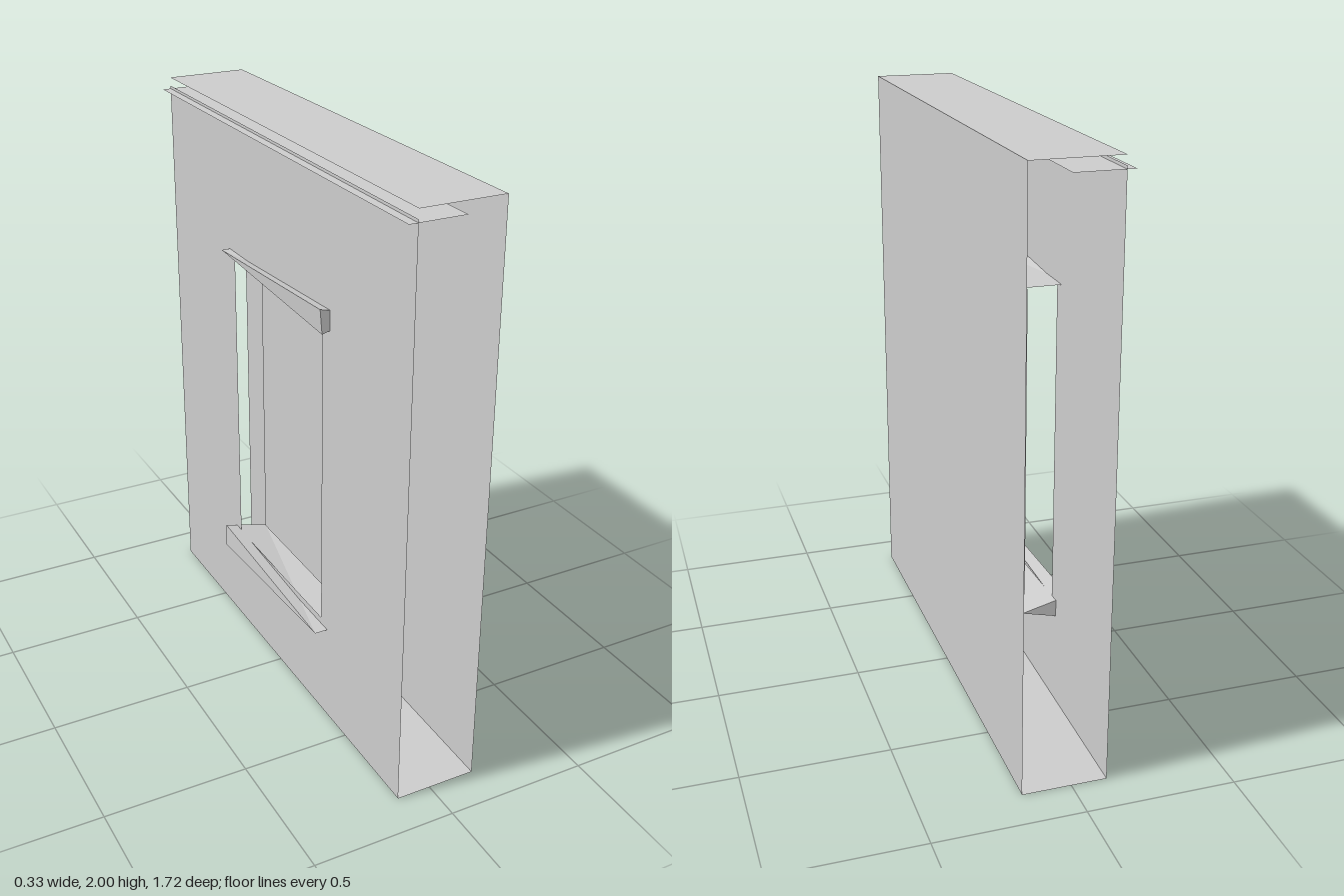
import * as THREE from 'three';

const material = new THREE.MeshStandardMaterial({
  color: 0xcccccc, flatShading: true, side: THREE.DoubleSide,
});

const OUT = -0.12, IN = 0.165, HALF = 0.86;

function addMesh(group, name, geometry) {
  const mesh = new THREE.Mesh(geometry, material);
  mesh.name = name;
  group.add(mesh);
  return mesh;
}

// Upright sheet in the z-y plane at a given x, with an optional rectangular hole
function uprightSheet(x, z0, z1, y0, y1, hole) {
  const rect = (T, a, b, c, d) => {
    const s = new T();
    s.moveTo(a, c);
    s.lineTo(b, c);
    s.lineTo(b, d);
    s.lineTo(a, d);
    s.closePath();
    return s;
  };
  const shape = rect(THREE.Shape, z0, z1, y0, y1);
  if (hole) shape.holes.push(rect(THREE.Path, ...hole));
  return new THREE.ShapeGeometry(shape).rotateY(-Math.PI / 2).translate(x, 0, 0);
}

// Level sheet between two x values, running the whole length
function levelSheet(x0, x1, y) {
  return new THREE.PlaneGeometry(x1 - x0, HALF * 2)
    .rotateX(-Math.PI / 2).translate((x0 + x1) / 2, y, 0);
}

// Wedge: triangular end at zThick, thinning to a level edge at zThin
function wedge(topX, bottomX, innerX, y, zThick, zThin) {
  const h = 0.042, edgeX = (topX + bottomX) / 2;
  const points = [
    topX, y + h, zThick,
    bottomX, y - h, zThick,
    innerX, y, zThick,
    edgeX, y, zThin,
    innerX, y, zThin,
  ];
  const faces = [0, 1, 2, 0, 2, 3, 2, 4, 3, 1, 3, 2, 0, 3, 1];
  if (zThick > zThin) faces.reverse();
  const g = new THREE.BufferGeometry();
  g.setAttribute('position', new THREE.Float32BufferAttribute(points, 3));
  g.setIndex(faces);
  const flat = g.toNonIndexed();
  flat.computeVertexNormals();
  return flat;
}

export function createModel() {
  const model = new THREE.Group();
  model.name = 'wallSection';

  // Open-ended shell: two walls, roof and floor
  addMesh(model, 'innerWall', uprightSheet(IN, -HALF, HALF, 0, 2));
  addMesh(model, 'outerWall',
    uprightSheet(OUT, -HALF, HALF, 0, 1.97, [-0.33, 0.32, 0.38, 1.49]));
  addMesh(model, 'roof', levelSheet(OUT, IN, 2));
  addMesh(model, 'floor', levelSheet(OUT, IN, 0));

  // Ledge poking out just below the roof
  addMesh(model, 'ledge', levelSheet(-0.15, 0.037, 1.96));

  // Window pane set back in the opening
  addMesh(model, 'windowPane', uprightSheet(-0.028, -0.31, 0.3, 0.39, 1.48));

  // Tapered lintel and sill, thick at opposite ends
  addMesh(model, 'lintel', wedge(-0.155, -0.148, 0.015, 1.503, 0.37, -0.37));
  addMesh(model, 'sill', wedge(-0.165, -0.168, 0, 0.356, -0.37, 0.365));

  return model;
}
